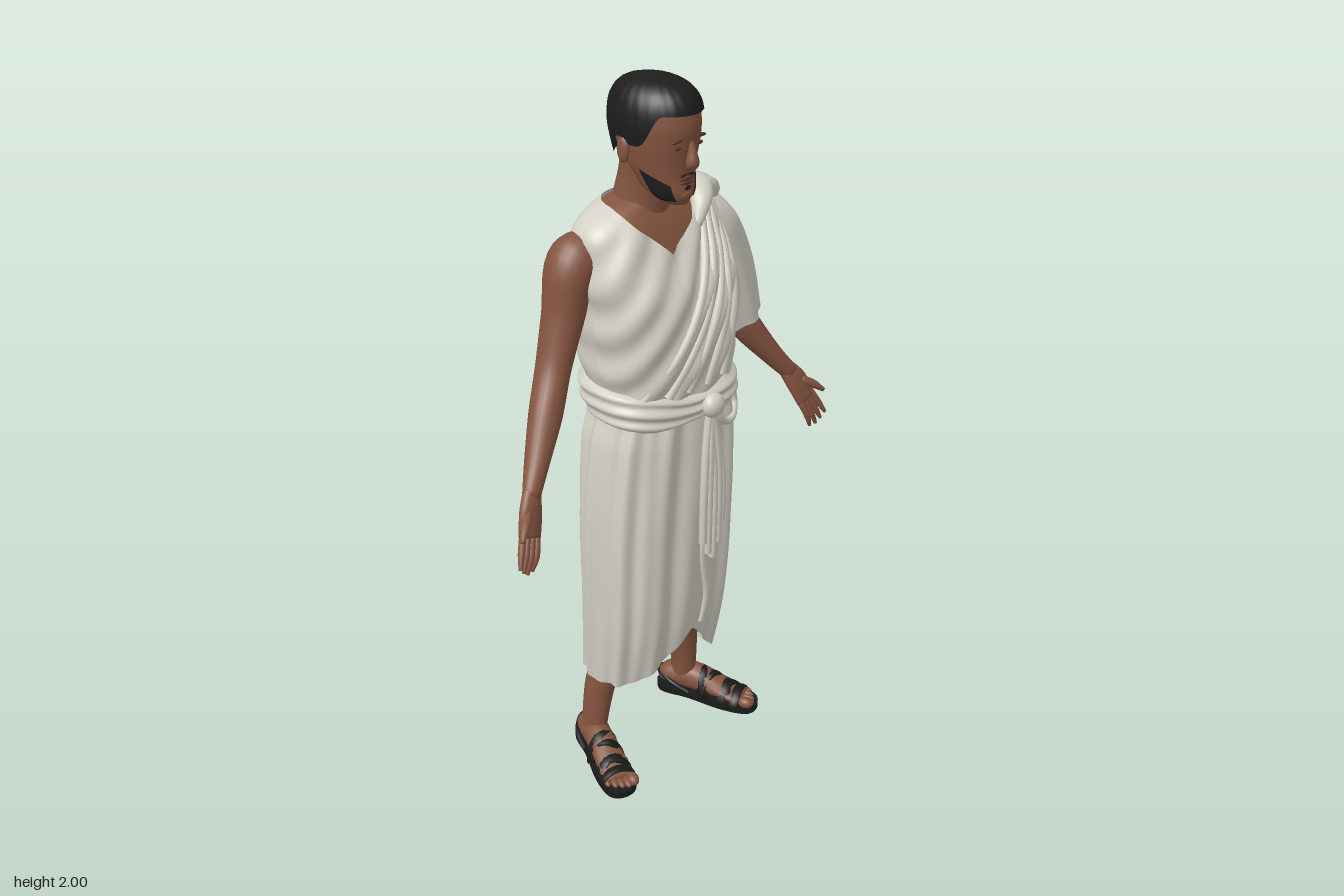
import * as THREE from 'three';

const V = (x, y, z) => new THREE.Vector3(x, y, z);
const mat = (name, color, two) => {
  const m = new THREE.MeshStandardMaterial({ color });
  m.name = name;
  if (two) m.side = THREE.DoubleSide;
  return m;
};

// Skin over a list of rings of points
function skinRings(rings, closed = true, caps = false) {
  const pos = [], idx = [], n = rings[0].length;
  rings.forEach(r => r.forEach(p => pos.push(p.x, p.y, p.z)));
  for (let i = 0; i < rings.length - 1; i++)
    for (let j = 0; j < (closed ? n : n - 1); j++) {
      const a = i * n + j, b = i * n + (j + 1) % n;
      idx.push(a, b, a + n, b, b + n, a + n);
    }
  if (caps) [0, rings.length - 1].forEach((r, end) => {
    const c = rings[r].reduce((s, p) => s.add(p), V(0, 0, 0)).divideScalar(n);
    const k = pos.length / 3;
    pos.push(c.x, c.y, c.z);
    for (let j = 0; j < n; j++) {
      const a = r * n + j, b = r * n + (j + 1) % n;
      end ? idx.push(a, b, k) : idx.push(b, a, k);
    }
  });
  const g = new THREE.BufferGeometry();
  g.setAttribute('position', new THREE.Float32BufferAttribute(pos, 3));
  g.setIndex(idx);
  g.computeVertexNormals();
  return g;
}

// Smooth lookup in rows of [y, cx, cz, rx, rz]
function sample(rows, y) {
  const last = rows.length - 1;
  let i = 0;
  while (i < last - 1 && y > rows[i + 1][0]) i++;
  const a = rows[i], b = rows[i + 1], h = b[0] - a[0];
  const t = THREE.MathUtils.clamp((y - a[0]) / h, 0, 1);
  const slope = (k, c) => {
    const p = rows[Math.max(0, k - 1)], q = rows[Math.min(last, k + 1)];
    return (q[c] - p[c]) / (q[0] - p[0]) * h;
  };
  return [1, 2, 3, 4].map(c => a[c] * (1 + 2 * t) * (1 - t) ** 2 + slope(i, c) * t * (1 - t) ** 2
    + b[c] * t * t * (3 - 2 * t) + slope(i + 1, c) * t * t * (t - 1));
}

const power = (v, p) => Math.sign(v) * Math.abs(v) ** p;
const step = THREE.MathUtils.smoothstep;

// Upright shell; bottom and top edges may vary with the angle (0 = front)
function shell(rows, o = {}) {
  const { bottom = () => rows[0][0], top = () => rows[rows.length - 1][0], nu = 40, nv = 24,
    grow = 0, fold = () => 0, from = -Math.PI, to = Math.PI, p = 1, caps = false } = o;
  const closed = to - from > 6.28, rings = [];
  for (let i = 0; i <= nv; i++) {
    const ring = [];
    for (let j = 0; j < (closed ? nu : nu + 1); j++) {
      const t = from + (to - from) * j / nu;
      const y = THREE.MathUtils.lerp(bottom(t), top(t), i / nv);
      const [cx, cz, rx, rz] = sample(rows, y);
      const s = power(Math.sin(t), p), c = power(Math.cos(t), p);
      const d = grow + fold(t, y, cx + rx * s, i / nv);
      ring.push(V(cx + (rx + d) * s, y, cz + (rz + d) * c));
    }
    rings.push(ring);
  }
  return skinRings(rings, closed, caps);
}

// Tapered limb along points of [x, y, z, radiusA, radiusB]
function limb(pts, { ref = V(0, 0, 1), nu = 16, nv = 20, caps = true, fold = () => 0 } = {}) {
  const path = new THREE.CatmullRomCurve3(pts.map(p => V(p[0], p[1], p[2])));
  const rad = new THREE.CatmullRomCurve3(pts.map(p => V(p[3], p[4], 0)));
  const rings = [];
  for (let i = 0; i <= nv; i++) {
    const u = i / nv, c = path.getPoint(u), r = rad.getPoint(u), t = path.getTangent(u);
    const a = ref.clone().cross(t).normalize(), b = t.clone().cross(a);
    rings.push(Array.from({ length: nu }, (_, j) => {
      const f = j / nu * Math.PI * 2, d = fold(f, u);
      return c.clone().addScaledVector(a, (r.x + d) * Math.cos(f)).addScaledVector(b, (r.y + d) * Math.sin(f));
    }));
  }
  return skinRings(rings, true, caps);
}

const tube = (pts, r) => new THREE.TubeGeometry(new THREE.CatmullRomCurve3(pts), 40, r, 8);

const BOXY = 0.8;
const ROBE = [[0.2, -0.005, 0.0, 0.2, 0.132], [0.5, -0.015, 0.04, 0.222, 0.15], [0.8, -0.015, 0.048, 0.232, 0.15],
  [1.05, -0.005, 0.043, 0.222, 0.145], [1.16, 0, 0.04, 0.2, 0.14], [1.28, 0, 0.03, 0.215, 0.163], [1.45, 0, 0.02, 0.23, 0.165],
  [1.56, -0.01, 0, 0.225, 0.138], [1.63, -0.015, -0.005, 0.2, 0.11], [1.67, -0.02, -0.005, 0.14, 0.085], [1.69, -0.028, 0, 0.075, 0.073]];
const CAPE = [[0.22, 0.13, -0.16, 0.135, 0.06], [0.6, 0.135, -0.15, 0.135, 0.055], [1, 0.145, -0.135, 0.135, 0.055],
  [1.4, 0.155, -0.105, 0.12, 0.065], [1.58, 0.165, -0.065, 0.1, 0.085], [1.66, 0.155, -0.015, 0.07, 0.085], [1.695, 0.14, 0.02, 0.03, 0.045]];
const HEAD = [[1.695, -0.03, 0.125, 0.025, 0.03], [1.72, -0.03, 0.1, 0.054, 0.063], [1.76, -0.03, 0.08, 0.07, 0.08],
  [1.8, -0.03, 0.065, 0.081, 0.099], [1.85, -0.03, 0.056, 0.089, 0.118], [1.9, -0.03, 0.053, 0.091, 0.124],
  [1.95, -0.03, 0.05, 0.08, 0.108], [1.985, -0.03, 0.05, 0.03, 0.04]];
const HAIR = [[1.78, -0.03, 0.035, 0.08, 0.088], [1.85, -0.03, 0.05, 0.096, 0.126], [1.9, -0.03, 0.052, 0.1, 0.132],
  [1.95, -0.03, 0.052, 0.088, 0.119], [1.982, -0.03, 0.05, 0.057, 0.08], [2, -0.03, 0.05, 0.003, 0.003]];

// Point on the robe's front at (x, y), lifted by off
function onRobe(x, y, off = 0) {
  const [cx, cz, rx, rz] = sample(ROBE, y);
  const s = Math.min(1, Math.abs((x - cx) / rx)) ** (1 / BOXY);
  return V(x, y, cz + rz * Math.sqrt(1 - s * s) ** BOXY + off);
}

export function createModel() {
  const root = new THREE.Group();
  const skin = mat('skin', 0x84543f), cloth = mat('cloth', 0xd2cfc4, true);
  const hair = mat('hair', 0x1d1d1e, true), leather = mat('leather', 0x1b1a1a), lip = mat('lips', 0x5e3429);
  const add = (name, geo, m, parent = root) => {
    const mesh = new THREE.Mesh(geo, m);
    mesh.name = name;
    parent.add(mesh);
    return mesh;
  };
  const ball = (name, m, p, s, parent) => {
    const b = add(name, new THREE.SphereGeometry(1, 16, 12), m, parent);
    b.position.set(...p);
    b.scale.set(...s);
    return b;
  };

  // Robe: wrapped skirt, pleated chest, V neck
  const robeFold = (t, y, x) => {
    const k = step(y, 1.1, 1.25), neck = 1 - step(y, 1.6, 1.67);
    const skirt = 0.005 * Math.sin(11 * t + 2 * Math.sin(3 * y)) + 0.003 * Math.sin(19 * t - 4 * y);
    const chest = 0.006 * Math.sin((0.8 * x - 0.6 * y) * 80) * (Math.cos(t) > 0 ? 1 : 0.5);
    return (skirt * (1 - k) + chest * k) * (0.2 + 0.8 * neck);
  };
  add('robe', shell(ROBE, {
    nu: 176, nv: 100, p: BOXY, fold: robeFold,
    bottom: t => 0.25 - 0.03 * Math.sin(t) + 0.2 * Math.exp(-Math.abs(Math.sin(t)) * 1.8) * Math.max(0, Math.cos(t)),
    top: t => 1.682 - 0.12 * Math.exp(-Math.abs(t + 0.1) / 0.42),
  }), cloth);
  add('wrapEdge', tube([[0.02, 0.46], [0.03, 0.55], [0.005, 0.7], [0.02, 0.9], [0.03, 1.1]].map(p => onRobe(...p, -0.002)), 0.012), cloth);

  // Diagonal gathered folds from the left shoulder
  [[0.09, -0.16], [0.115, -0.1], [0.14, -0.04], [0.16, 0.03], [0.175, 0.1]].forEach(([a, b]) =>
    add('chestFold', tube([0, 0.25, 0.5, 0.75, 1].map(u =>
      onRobe(a + (b - a) * u ** 1.25, 1.63 - 0.43 * u, -0.004)), 0.013), cloth));
  add('shoulderRoll', limb([[0.06, 1.605, 0.11, 0.012, 0.012], [0.1, 1.66, 0.085, 0.03, 0.024],
    [0.135, 1.675, 0.03, 0.042, 0.028], [0.165, 1.65, -0.06, 0.045, 0.03]], { ref: V(0, 1, 0) }), cloth);

  // Draped sleeve on the left arm
  add('sleeve', limb([[0.12, 1.625, -0.01, 0.05, 0.085], [0.2, 1.545, -0.012, 0.085, 0.112], [0.255, 1.42, -0.01, 0.09, 0.112],
    [0.305, 1.25, 0, 0.085, 0.097]], { nu: 64, nv: 30, caps: false, fold: (f, u) => 0.006 * u * Math.sin(7 * f + 4 * u) }), cloth);

  // Cape hanging down the back
  add('cape', shell(CAPE, {
    nu: 128, nv: 60, p: 0.8, caps: true,
    fold: (t, y) => (0.013 * Math.sin(8 * t + 0.6 * y) + 0.004 * Math.sin(15 * t)) *
      (1 - step(y, 1.3, 1.69)) * (0.4 + 0.6 * Math.max(0, -Math.cos(t))),
  }), cloth);

  // Sash: wide creased band, knot, loop and tails
  const sashMid = t => 1.165 - 0.018 * Math.cos(t) - 0.008 * Math.sin(t);
  const sashHalf = t => 0.05 - 0.014 * Math.exp(-((t / 0.4) ** 2));
  add('sash', shell(ROBE, {
    nu: 120, nv: 24, p: BOXY, bottom: t => sashMid(t) - sashHalf(t), top: t => sashMid(t) + sashHalf(t),
    fold: (t, y, x, v) => -0.008 + 0.028 * Math.sqrt(Math.max(0, 1 - (2 * v - 1) ** 2)) + 0.004 * Math.sin(17 * v + 2 * Math.sin(t * 2)),
  }), cloth);
  ball('sashKnot', cloth, [0.03, 1.145, 0.205], [0.035, 0.034, 0.027]);
  add('sashLoop', tube([[0.05, 1.13], [0.09, 1.07], [0.14, 1.055], [0.175, 1.08], [0.165, 1.14]].map(p => onRobe(...p, 0.008)), 0.01), cloth);
  [[-0.005, 0.74], [0.015, 0.7], [0.035, 0.68], [0.055, 0.72], [0.07, 0.78]].forEach(([x, y], i) =>
    add('sashTail', tube([onRobe(0.03, 1.14, 0.015), onRobe(x * 0.6 + 0.012, 1.03, 0.014 + 0.004 * (i % 2)),
      onRobe(x, 0.9, 0.016), onRobe(x, y, 0.012)], 0.011), cloth));

  // Upper chest, neck and head
  add('chest', shell(ROBE, { bottom: () => 1.4, p: BOXY, grow: -0.012 }), skin);
  add('neck', limb([[-0.03, 1.62, -0.005, 0.085, 0.08], [-0.03, 1.69, 0.008, 0.07, 0.073], [-0.03, 1.75, 0.02, 0.065, 0.07],
    [-0.03, 1.83, 0.035, 0.068, 0.075]], { nu: 28 }), skin);
  add('head', shell(HEAD, { caps: true, nu: 48, nv: 32 }), skin);
  add('nose', limb([[-0.03, 1.862, 0.166, 0.008, 0.008], [-0.03, 1.83, 0.173, 0.011, 0.013],
    [-0.03, 1.803, 0.176, 0.017, 0.016], [-0.03, 1.79, 0.17, 0.012, 0.01]]), skin);
  ball('upperLip', lip, [-0.03, 1.761, 0.157], [0.024, 0.005, 0.007]);
  ball('lowerLip', lip, [-0.03, 1.751, 0.156], [0.021, 0.006, 0.007]);
  ball('chin', skin, [-0.03, 1.72, 0.148], [0.026, 0.018, 0.018]);
  ball('chinTuft', hair, [-0.03, 1.739, 0.161], [0.01, 0.006, 0.004]);
  const hairline = t => {
    const a = Math.abs(t);
    return 1.922 - 0.08 * step(a, 0.8, 1.3) + 0.015 * step(a, 1.5, 1.65) - 0.06 * step(a, 1.8, 2.4);
  };
  add('hair', shell(HAIR, { bottom: hairline, nu: 80, nv: 24, fold: (t, y) => 0.0008 * Math.sin(24 * t + 30 * y) }), hair);
  for (const s of [1, -1]) {
    const x = d => -0.03 + s * d, lo = s > 0 ? 0.68 : -1.5;
    ball('ear', skin, [x(0.092), 1.825, 0.035], [0.01, 0.032, 0.019]);
    ball('eye', lip, [x(0.036), 1.843, 0.162], [0.013, 0.005, 0.005]);
    ball('brow', lip, [x(0.037), 1.862, 0.164], [0.021, 0.005, 0.006]).rotation.z = -s * 0.1;
    ball('moustache', hair, [x(0.012), 1.771, 0.159], [0.013, 0.003, 0.004]).rotation.z = -s * 0.2;
    add('beard', shell(HEAD, { from: lo, to: lo + 0.82, nu: 12, nv: 8, grow: 0.004,
      bottom: () => 1.708, top: t => 1.745 + 0.045 * (Math.abs(t) - 0.6) }), hair);

    // Arm with open hand, palm forward; the left one starts under the sleeve
    const arm = new THREE.Group();
    arm.name = s > 0 ? 'leftArm' : 'rightArm';
    root.add(arm);
    const m = pts => pts.map(([px, ...r]) => [s * px, ...r]);
    const shoulder = s > 0 ? [] : [[0.17, 1.575, -0.03, 0.05, 0.055], [0.23, 1.55, -0.033, 0.063, 0.068]];
    add('armSkin', limb(m([...shoulder, [0.268, 1.42, -0.032, 0.052, 0.058], [0.318, 1.29, -0.02, 0.043, 0.048],
      [0.37, 1.2, 0.008, 0.043, 0.044], [0.44, 1.1, 0.048, 0.031, 0.033], [0.49, 1.035, 0.08, 0.025, 0.021]]),
      { nu: 24, nv: 40 }), skin, arm);
    add('palm', limb(m([[0.48, 1.05, 0.073, 0.026, 0.02], [0.505, 1.005, 0.094, 0.036, 0.018], [0.527, 0.95, 0.113, 0.036, 0.013]])), skin, arm);
    for (const k of [-1.5, -0.5, 0.5, 1.5]) {
      const len = 0.1 - 0.008 * Math.abs(k + 0.3);
      const at = (d, w, z) => [0.525 + 0.4 * d + 0.85 * k * w, 0.957 - 0.91 * d + 0.45 * k * w, z];
      add('finger', limb(m([[...at(0, 0.017, 0.111), 0.009, 0.01], [...at(len * 0.55, 0.019, 0.127), 0.009, 0.009],
        [...at(len, 0.02, 0.134 + 0.005 * k), 0.005, 0.005]]), { nu: 10, nv: 8 }), skin, arm);
    }
    add('thumb', limb(m([[0.515, 1.01, 0.098, 0.013, 0.013], [0.548, 0.99, 0.122, 0.012, 0.012], [0.574, 0.968, 0.14, 0.006, 0.006]]), { nu: 10, nv: 8 }), skin, arm);

    // Leg, narrowing out of sight under the robe
    add('leg', limb(m([[0.187, 0.05, -0.04, 0.034, 0.038], [0.185, 0.12, -0.035, 0.034, 0.042], [0.17, 0.24, -0.025, 0.043, 0.046],
      [0.14, 0.38, 0, 0.045, 0.05], [0.11, 0.6, 0.03, 0.045, 0.05]]), { nu: 24 }), skin);

    // Foot in a strapped sandal, toes turned out
    const foot = new THREE.Group();
    foot.name = s > 0 ? 'leftFoot' : 'rightFoot';
    foot.position.set(s * 0.19, 0, -0.035);
    foot.rotation.y = s * 0.38;
    root.add(foot);
    add('footSkin', limb([[0, 0.042, -0.075, 0.022, 0.02], [0, 0.054, -0.045, 0.037, 0.038], [0, 0.062, 0.03, 0.039, 0.045],
      [0, 0.05, 0.1, 0.043, 0.032], [0, 0.037, 0.16, 0.046, 0.019], [0, 0.031, 0.195, 0.042, 0.013]], { ref: V(0, 1, 0) }), skin, foot);
    [0.017, 0.011, 0.01, 0.0095, 0.009].forEach((r, i) =>
      ball('toe', skin, [s * (-0.032 + 0.0175 * i), 0.018 + r, 0.213 - 0.0018 * i * i], [r, r, 0.024], foot));
    const outline = new THREE.Shape();
    outline.setFromPoints(new THREE.SplineCurve([[0, -0.09], [0.038, -0.06], [0.04, 0.03], [0.053, 0.14], [0.042, 0.215], [0, 0.24],
      [-0.042, 0.22], [-0.052, 0.14], [-0.04, 0.03], [-0.038, -0.06], [0, -0.09]].map(p => new THREE.Vector2(...p))).getPoints(60).slice(0, -1));
    const sole = add('sole', new THREE.ExtrudeGeometry(outline, { depth: 0.019, bevelEnabled: false }), leather, foot);
    sole.rotation.x = Math.PI / 2;
    sole.position.y = 0.019;
    [[0.06, 0.45, 0.08], [0.09, -0.45, 0.07], [0.135, 0.35, 0.052], [0.145, -0.35, 0.05], [0.178, 0, 0.04]].forEach(([z, turn, h]) => {
      const strap = add('strap', new THREE.TorusGeometry(1, 0.1, 8, 24, Math.PI), leather, foot);
      strap.position.set(0, 0.014, z);
      strap.rotation.y = turn;
      strap.scale.set(0.05, h, 0.16);
    });
    add('heelStrap', tube([V(0.043, 0.025, 0.03), V(0.042, 0.05, -0.03), V(0, 0.06, -0.085), V(-0.042, 0.05, -0.03), V(-0.043, 0.025, 0.03)], 0.007), leather, foot);
  }
  return root;
}
